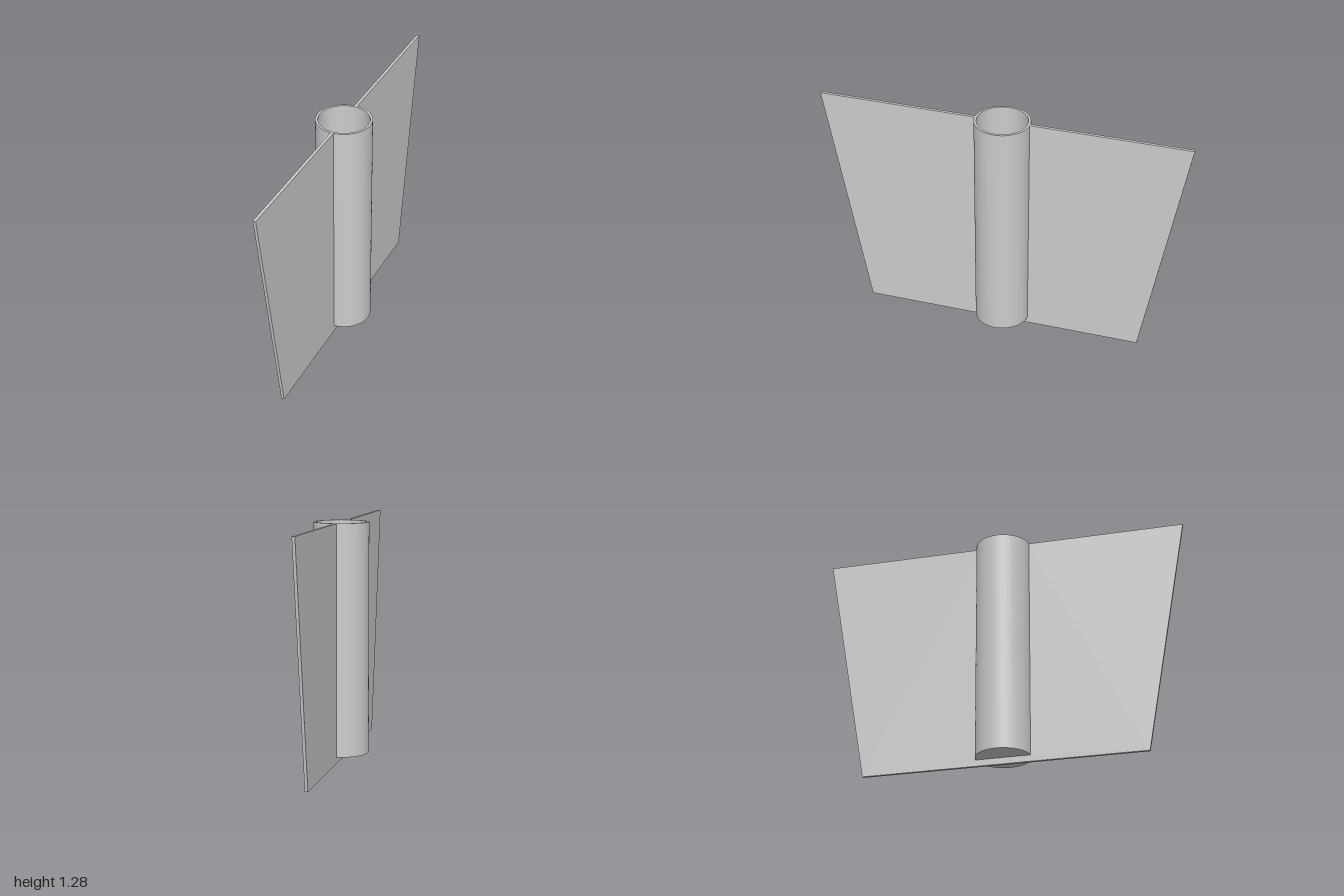
import * as THREE from 'three';
import { toCreasedNormals } from 'three/addons/utils/BufferGeometryUtils.js';

const TOP = 1.28;          // shared rim height of plate and cup
const OUTER = 0.148, INNER = 0.135;
const BASE = 0.035, FLOOR = 0.048;
const THICKNESS = 0.016;

export function createModel() {
  const model = new THREE.Group();
  const material = new THREE.MeshStandardMaterial({ color: 0xcccccc });

  // Upright cup: closed at the bottom, open at the top
  const profile = [
    [0, BASE], [OUTER, BASE], [OUTER, TOP],
    [INNER, TOP], [INNER, FLOOR], [0, FLOOR],
  ].map(([r, y]) => new THREE.Vector2(r, y));
  const cup = new THREE.Mesh(
    toCreasedNormals(new THREE.LatheGeometry(profile, 64), Math.PI / 6), material);
  cup.name = 'centralTube';
  model.add(cup);

  // Tapered plate, notched so that it stays out of the hollow of the cup
  const notch = (OUTER + INNER) / 2, sill = (BASE + FLOOR) / 2;
  const outline = new THREE.Shape([
    [-0.77, 0], [0.77, 0], [1, TOP], [notch, TOP],
    [notch, sill], [-notch, sill], [-notch, TOP], [-1, TOP],
  ].map(([z, y]) => new THREE.Vector2(z, y)));
  const plateGeometry = new THREE.ExtrudeGeometry(outline, { depth: THICKNESS, bevelEnabled: false });
  plateGeometry.translate(0, 0, -THICKNESS / 2).rotateY(-Math.PI / 2);
  const plate = new THREE.Mesh(plateGeometry, material);
  plate.name = 'taperedPlate';
  model.add(plate);

  return model;
}
